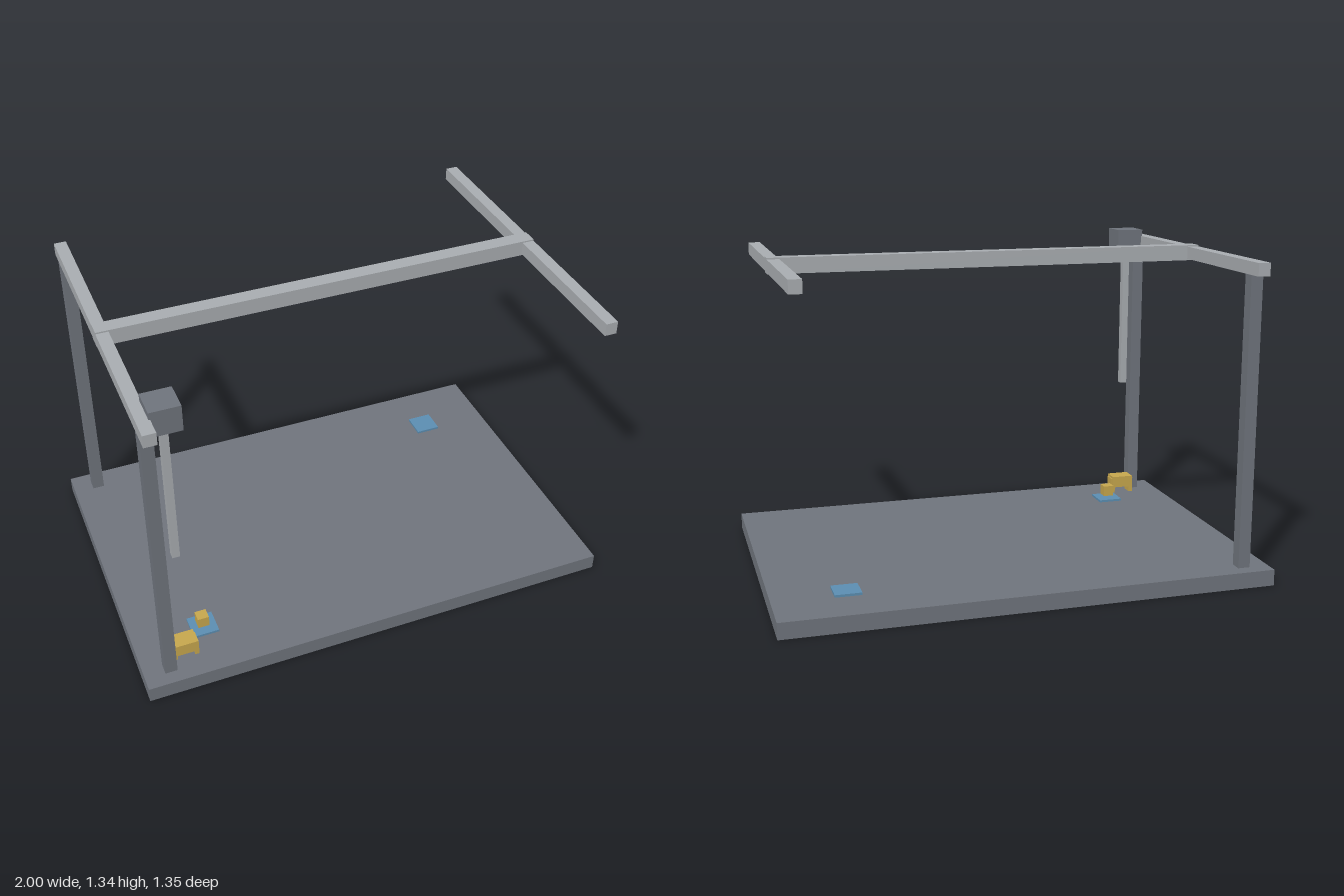
import * as THREE from 'three';

function material(name, color) {
  const m = new THREE.MeshStandardMaterial({ color });
  m.name = name;
  return m;
}

export function createModel() {
  const darkGrey = material('darkGrey', 0x70757d);
  const lightGrey = material('lightGrey', 0xaaaeb2);
  const gold = material('gold', 0xc8a84e);
  const blue = material('blue', 0x5c8fb3);

  const model = new THREE.Group();
  model.name = 'gantryCell';

  // Box given by its size, its centre in x and z, and its underside in y
  const box = (name, mat, [w, h, d], [x, bottom, z], parent = model) => {
    const mesh = new THREE.Mesh(new THREE.BoxGeometry(w, h, d), mat);
    mesh.name = name;
    mesh.position.set(x, bottom + h / 2, z);
    parent.add(mesh);
    return mesh;
  };

  const floor = 0.067;
  const railX = 0.892;

  // Base plate
  box('basePlate', darkGrey, [2, floor, 1.35], [0, 0, 0]);

  // Two posts carry the right rail
  for (const [name, z] of [['frontPost', 0.595], ['backPost', -0.595]]) {
    box(name, darkGrey, [0.05, 1.192, 0.05], [-railX, floor, z]);
  }

  // Side rails and the bridge joining them
  for (const [name, side] of [['rightRail', -1], ['leftRail', 1]]) {
    box(name, lightGrey, [0.05, 0.052, 1.35], [side * railX, 1.259, 0]);
  }
  box('bridgeBeam', lightGrey, [1.834, 0.064, 0.064], [0, 1.253, 0]);

  // Carriage with its hanging rod
  const headX = -0.814;
  const headZ = 0.541;
  box('carriage', darkGrey, [0.118, 0.107, 0.118], [headX, 1.233, headZ]);
  box('liftRod', lightGrey, [0.03, 0.625, 0.03], [headX, 0.609, headZ]);

  // Gripper: palm and two fingers
  const gripper = new THREE.Group();
  gripper.name = 'gripper';
  model.add(gripper);
  box('palm', gold, [0.098, 0.052, 0.07], [headX, 0.095, headZ], gripper);
  for (const [name, side] of [['rightFinger', -1], ['leftFinger', 1]]) {
    box(name, gold, [0.018, 0.07, 0.054], [headX + side * 0.045, floor, headZ], gripper);
  }

  // Pick and place pads, with the workpiece above the first
  for (const [name, side] of [['pickPad', -1], ['placePad', 1]]) {
    box(name, blue, [0.107, 0.01, 0.107], [side * 0.704, floor, -side * 0.433]);
  }
  box('workpiece', gold, [0.047, 0.047, 0.047], [-0.705, 0.087, 0.433]);

  return model;
}
